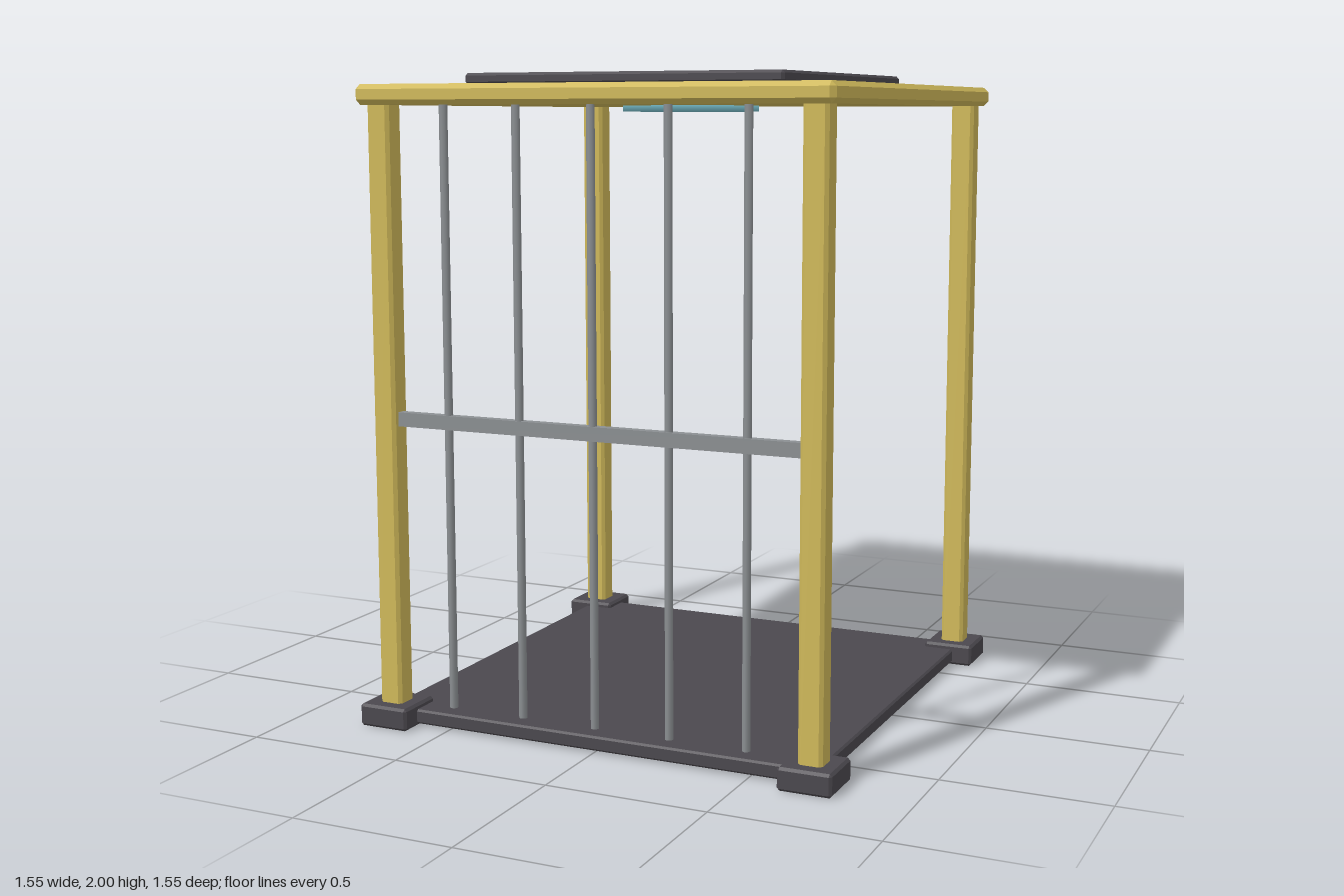
import * as THREE from 'three';
import { ConvexGeometry } from 'three/addons/geometries/ConvexGeometry.js';
import { mergeVertices } from 'three/addons/utils/BufferGeometryUtils.js';

function material(name, color) {
  const m = new THREE.MeshStandardMaterial({ color });
  m.name = name;
  return m;
}

// Box with every edge cut by a flat chamfer c
function chamferBox(w, h, d, c) {
  const points = [];
  for (const x of [-1, 1]) for (const y of [-1, 1]) for (const z of [-1, 1]) {
    const [a, b, e] = [w / 2, h / 2, d / 2];
    points.push(
      new THREE.Vector3(x * a, y * (b - c), z * (e - c)),
      new THREE.Vector3(x * (a - c), y * b, z * (e - c)),
      new THREE.Vector3(x * (a - c), y * (b - c), z * e));
  }
  return new ConvexGeometry(points);
}

// Cylinder whose normals are blended over the rims
function softCylinder(radius, height, sides) {
  const g = new THREE.CylinderGeometry(radius, radius, height, sides);
  g.deleteAttribute('normal');
  g.deleteAttribute('uv');
  const merged = mergeVertices(g);
  merged.computeVertexNormals();
  return merged;
}

export function createModel() {
  const group = new THREE.Group();
  const yellow = material('yellow paint', 0xd0b95a);
  const dark = material('dark metal', 0x4b484e);
  const steel = material('steel', 0x8b8f92);
  const glass = material('lamp glass', 0x7cc4d2);

  const add = (name, geometry, mat, x, y, z) => {
    const mesh = new THREE.Mesh(geometry, mat);
    mesh.name = name;
    mesh.position.set(x, y, z);
    group.add(mesh);
  };

  // Floor, roof and roof hatch
  add('floor', chamferBox(1.42, 0.045, 1.42, 0.006), dark, 0, 0.0305, 0);
  add('roof', chamferBox(1.514, 0.061, 1.514, 0.015), yellow, 0, 1.9345, 0);
  add('roofPlate', chamferBox(1.036, 0.035, 1.036, 0.008), dark, 0, 1.9825, 0);

  // Corner posts and their feet
  const post = chamferBox(0.075, 1.87, 0.075, 0.01);
  const foot = chamferBox(0.165, 0.07, 0.165, 0.008);
  for (const sx of [-1, 1]) for (const sz of [-1, 1]) {
    add('cornerPost', post, yellow, sx * 0.693, 0.985, sz * 0.693);
    add('cornerFoot', foot, dark, sx * 0.693, 0.035, sz * 0.693);
  }

  // Front grille
  const bar = softCylinder(0.013, 1.84, 8);
  for (let i = -2; i <= 2; i++) add('grilleBar', bar, steel, i * 0.243, 0.993, 0.693);
  add('crossRail', new THREE.BoxGeometry(1.32, 0.043, 0.03), steel, 0, 0.96, 0.693);

  // Ceiling lamp
  add('ceilingLamp', softCylinder(0.216, 0.03, 12), glass, 0, 1.9, 0);

  return group;
}
